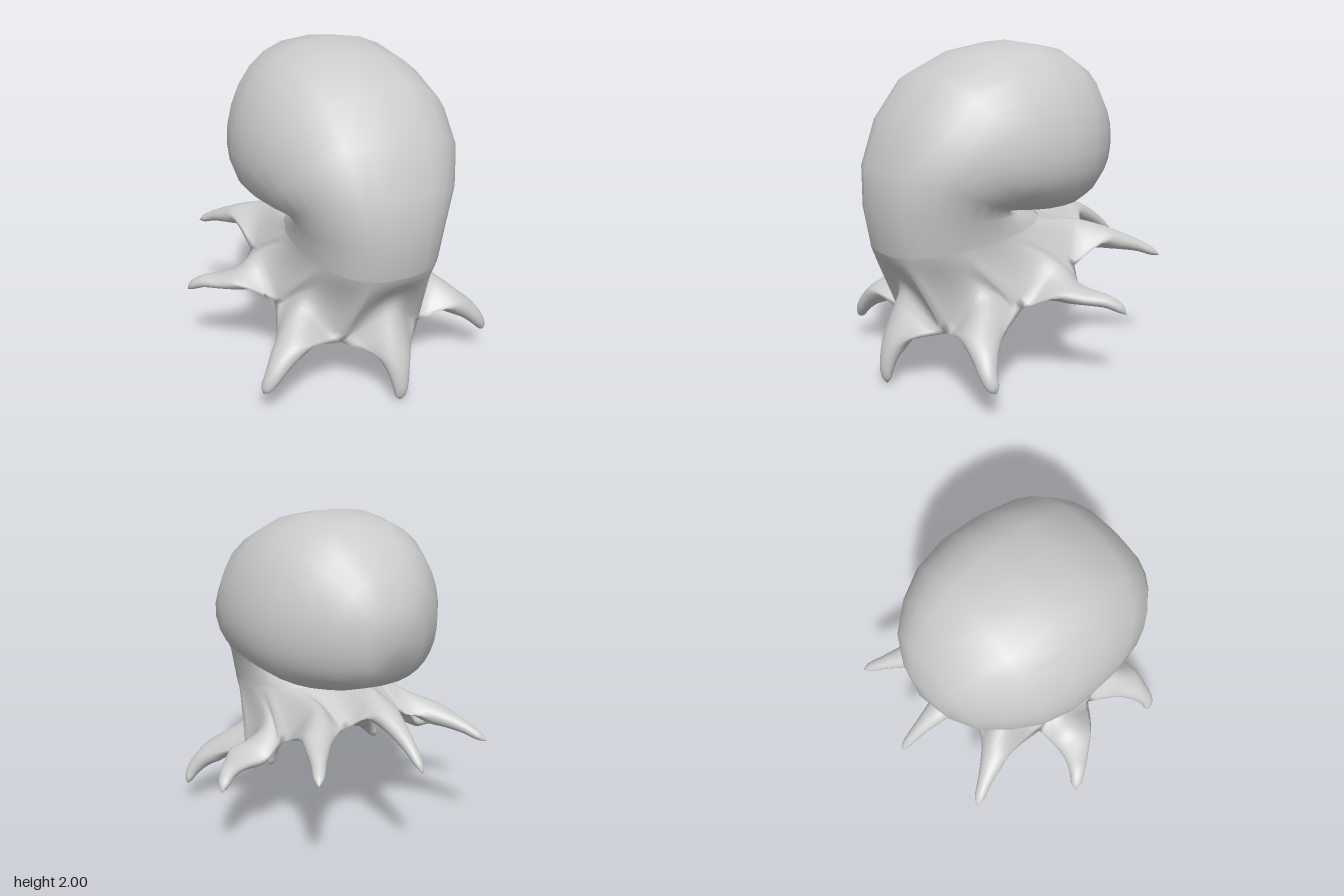
import * as THREE from 'three';
import { mergeVertices } from 'three/addons/utils/BufferGeometryUtils.js';

const material = new THREE.MeshStandardMaterial({ color: 0xcccccc, side: THREE.DoubleSide });
const vec = (x, y, z) => new THREE.Vector3(x, y, z);

// Smooth skin over patches; a patch is a list of equally long rows of points.
// Points that coincide are welded, so neighbouring patches flow together.
function skin(name, patches) {
  const points = [], index = [];
  for (const rows of patches) {
    const start = points.length, n = rows[0].length;
    points.push(...rows.flat());
    for (let i = 0; i < rows.length - 1; i++) {
      for (let j = 0; j < n - 1; j++) {
        const a = start + i * n + j;
        index.push(a, a + n, a + 1, a + 1, a + n, a + n + 1);
      }
    }
  }
  let geometry = new THREE.BufferGeometry().setFromPoints(points);
  geometry.setIndex(index);
  geometry = mergeVertices(geometry, 1e-4);
  geometry.computeVertexNormals();
  const mesh = new THREE.Mesh(geometry, material);
  mesh.name = name;
  return mesh;
}

// Point at angle a on a body section:
// outer z, y; inner z, y; half width; downward shift of the widest point
function sectionPoint([oz, oy, iz, iy, w, shift], a) {
  const c = Math.cos(a);
  const v = 0.5 + 0.5 * (Math.sin(a) - shift * c * c);
  return vec(w * Math.sign(c) * Math.abs(c) ** 0.76, iy + (oy - iy) * v, iz + (oz - iz) * v);
}

const neck = [0.885, 0.81, -0.14, 0.95, 0.42, 0];

// Neck and head: sections that fan round the crease below the head
function makeHead() {
  const sections = [
    [0.86, 0.76, -0.12, 0.92, 0.412, 0],
    neck,
    [0.92, 1.05, 0.02, 0.985, 0.425, 0],
    [0.90, 1.30, 0.14, 1.00, 0.49, 0.06],
    [0.78, 1.58, 0.15, 1.00, 0.58, 0.15],
    [0.59, 1.82, 0.08, 0.99, 0.615, 0.2],
    [0.30, 1.95, 0.00, 0.98, 0.63, 0.22],
    [0.00, 2.00, -0.10, 0.97, 0.625, 0.22],
    [-0.28, 1.96, -0.22, 0.965, 0.58, 0.2],
    [-0.46, 1.86, -0.36, 0.985, 0.49, 0.16],
    [-0.60, 1.70, -0.52, 1.04, 0.36, 0.1],
    [-0.67, 1.52, -0.62, 1.14, 0.2, 0.05],
    [-0.69, 1.35, -0.69, 1.35, 0, 0],
  ];
  const sides = 28;
  return skin('head', [sections.map((s) =>
    Array.from({ length: sides + 1 }, (_, j) => sectionPoint(s, ((j % sides) / sides) * Math.PI * 2)))]);
}

// Arms from front to back on the left side, each row: x, y, z, half thickness, half width.
// The first row is where the arm leaves the web and spans from valley to valley.
const arms = [
  [[0, 0.48, 0.67, 0.11, 0], [0, 0.28, 0.795, 0.075, 0.11], [0, 0.18, 0.85, 0.052, 0.066],
    [0, 0.09, 0.872, 0.037, 0.046], [0, 0.035, 0.872, 0.022, 0.03], [0, 0.005, 0.87, 0, 0]],
  [[0.41, 0.465, 0.48, 0.1, 0], [0.55, 0.385, 0.57, 0.075, 0.12], [0.65, 0.315, 0.615, 0.058, 0.075],
    [0.72, 0.235, 0.64, 0.042, 0.05], [0.755, 0.18, 0.635, 0.025, 0.034], [0.768, 0.15, 0.625, 0, 0]],
  [[0.49, 0.615, 0.03, 0.09, 0], [0.62, 0.565, -0.01, 0.06, 0.14], [0.73, 0.55, -0.065, 0.043, 0.085],
    [0.82, 0.535, -0.13, 0.036, 0.052], [0.875, 0.495, -0.185, 0.026, 0.032], [0.9, 0.46, -0.21, 0, 0]],
  [[0.33, 0.8, -0.33, 0.09, 0], [0.41, 0.78, -0.47, 0.068, 0.1], [0.47, 0.75, -0.57, 0.052, 0.067],
    [0.525, 0.715, -0.67, 0.036, 0.043], [0.57, 0.675, -0.745, 0.024, 0.03], [0.595, 0.65, -0.785, 0, 0]],
  [[0, 0.9, -0.41, 0.085, 0], [0, 0.87, -0.55, 0.066, 0.1], [0, 0.82, -0.68, 0.05, 0.062],
    [0, 0.75, -0.8, 0.036, 0.04], [0, 0.68, -0.89, 0.02, 0.025], [0, 0.64, -0.925, 0, 0]],
];

// Edge of the web between neighbouring arms, front to back
const valleys = [[0.27, 0.345, 0.63], [0.51, 0.485, 0.25], [0.48, 0.665, -0.17], [0.21, 0.8, -0.46]];
function valley(i) {
  const k = (i + 8) % 8;
  const [x, y, z] = valleys[k < 4 ? k : 7 - k];
  return vec(k < 4 ? x : -x, y, z);
}

// One eighth of the skirt: upper web, arm and hollow underside
function armSector(i) {
  const rows = arms[i < 5 ? i : 8 - i];
  const centres = rows.map(([x, y, z]) => vec(i < 5 ? x : -x, y, z));
  const out = centres.at(-1).clone().sub(centres[0]).setY(0);
  const across = vec(0, 1, 0).cross(out).normalize();

  // Edge lines of the arm: left, right, top and bottom
  const edges = [[], [], [], []];
  rows.forEach(([, , , h, w], k) => {
    const c = centres[k];
    const T = centres[Math.min(k + 1, rows.length - 1)].clone().sub(centres[Math.max(k - 1, 0)]).normalize();
    const S = across.clone().addScaledVector(T, -T.dot(across)).normalize();
    const N = T.clone().cross(S);
    edges[0].push(k ? c.clone().addScaledVector(S, -w) : valley(i - 1));
    edges[1].push(k ? c.clone().addScaledVector(S, w) : valley(i));
    edges[2].push(c.clone().addScaledVector(N, h));
    edges[3].push(c.clone().addScaledVector(N, k ? -h : -h * 0.5));
  });
  const curves = edges.map((e) => new THREE.CatmullRomCurve3(e));

  const cols = 12, armSteps = 18, webSteps = 9;
  const columns = Array.from({ length: cols + 1 }, (_, j) => (j / cols) * 2 - 1);
  // Half of a section, over the top (edge 2) or underneath (edge 3):
  // a soft swell where it leaves the web, turning oval along the arm
  const halfSection = (t, edge) => {
    const [L, R, E] = [curves[0], curves[1], curves[edge]].map((c) => c.getPoint(t));
    const mid = L.clone().add(R).multiplyScalar(0.5);
    const oval = Math.min(t / 0.25, 1);
    return columns.map((f) => {
      const s = THREE.MathUtils.lerp(f, Math.sin(f * Math.PI / 2), oval);
      const c = Math.max(Math.cos(f * Math.PI / 2), 0) ** (2 - oval);
      return mid.clone().addScaledVector(R, s / 2).addScaledVector(L, -s / 2)
        .addScaledVector(E, c).addScaledVector(mid, -c);
    });
  };

  const result = [];
  const topRoot = halfSection(0, 2), bottomRoot = halfSection(0, 3);
  // Upper web: leaves the neck along its side and runs into the arm
  const ridge = curves[2].getTangent(0);
  const webLines = columns.map((f, j) => {
    const angle = (i + f / 2) * Math.PI / 4;
    const start = sectionPoint(neck, Math.PI / 2 - angle);
    const leave = start.clone().add(vec(0, -0.05 * (1 + Math.cos(angle)), -0.03));
    const arrive = topRoot[j].clone().addScaledVector(ridge, -0.12)
      .lerp(start.clone().lerp(topRoot[j], 0.6), f * f);
    return new THREE.CubicBezierCurve3(start, leave, arrive, topRoot[j]);
  });
  for (let k = 0; k < webSteps; k++) result.push(webLines.map((line) => line.getPoint(k / webSteps)));

  for (let k = 0; k <= armSteps; k++) result.push(halfSection(k / armSteps, 2));
  for (let k = armSteps - 1; k > 0; k--) result.push(halfSection(k / armSteps, 3));

  // Hollow underside
  const hollow = vec(0, 0.72, 0.1);
  const underLines = bottomRoot.map((p) => {
    const bend = p.clone().lerp(hollow, 0.5);
    bend.y = bend.y * 0.4 + hollow.y * 0.6;
    return new THREE.QuadraticBezierCurve3(p, bend, hollow);
  });
  for (let k = 0; k <= webSteps; k++) result.push(underLines.map((line) => line.getPoint(k / webSteps)));
  return result;
}

export function createModel() {
  const group = new THREE.Group();
  group.name = 'octopus';
  group.add(makeHead());
  group.add(skin('armsAndSkirt', Array.from({ length: 8 }, (_, i) => armSector(i))));
  return group;
}
